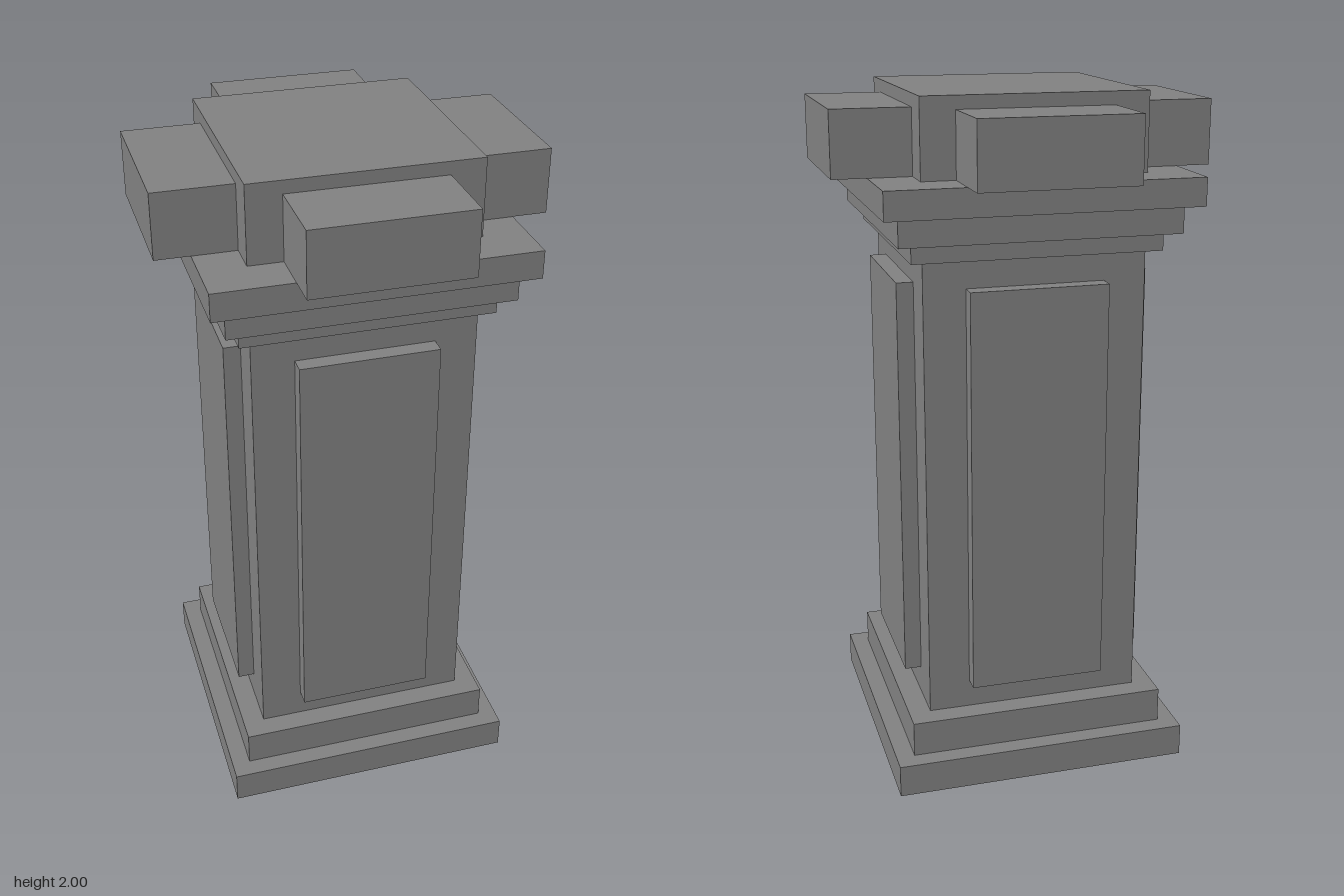
import * as THREE from 'three';

export function createModel() {
  const model = new THREE.Group();
  model.name = 'pillar';
  const stone = new THREE.MeshStandardMaterial({ color: 0x808080 });
  stone.name = 'grey stone';

  // Box spanning y0..y1, pushed out along +z by z
  function block(name, w, d, y0, y1, z = 0, parent = model) {
    const mesh = new THREE.Mesh(new THREE.BoxGeometry(w, y1 - y0, d), stone);
    mesh.name = name;
    mesh.position.set(0, (y0 + y1) / 2, z);
    parent.add(mesh);
  }

  // Square tiers from the ground up: name, half width, bottom, top
  const tiers = [
    ['basePlinth', 0.438, 0, 0.096],
    ['baseStep', 0.384, 0.096, 0.2],
    ['shaft', 0.32, 0.2, 1.565],
    ['lowerCollar', 0.358, 1.565, 1.618],
    ['middleCollar', 0.4, 1.618, 1.698],
    ['upperCollar', 0.445, 1.698, 1.778],
    ['capBlock', 0.32, 1.778, 2],
  ];
  for (const [name, half, y0, y1] of tiers) block(name, half * 2, half * 2, y0, y1);

  // Raised panel and projecting cap block on each of the four sides
  ['front', 'left', 'back', 'right'].forEach((label, i) => {
    const side = new THREE.Group();
    side.name = label + 'Side';
    side.rotation.y = (i * Math.PI) / 2;
    block(label + 'Panel', 0.398, 0.049, 0.284, 1.482, 0.3445, side);
    block(label + 'CapArm', 0.445, 0.223, 1.778, 1.963, 0.4315, side);
    model.add(side);
  });

  return model;
}
